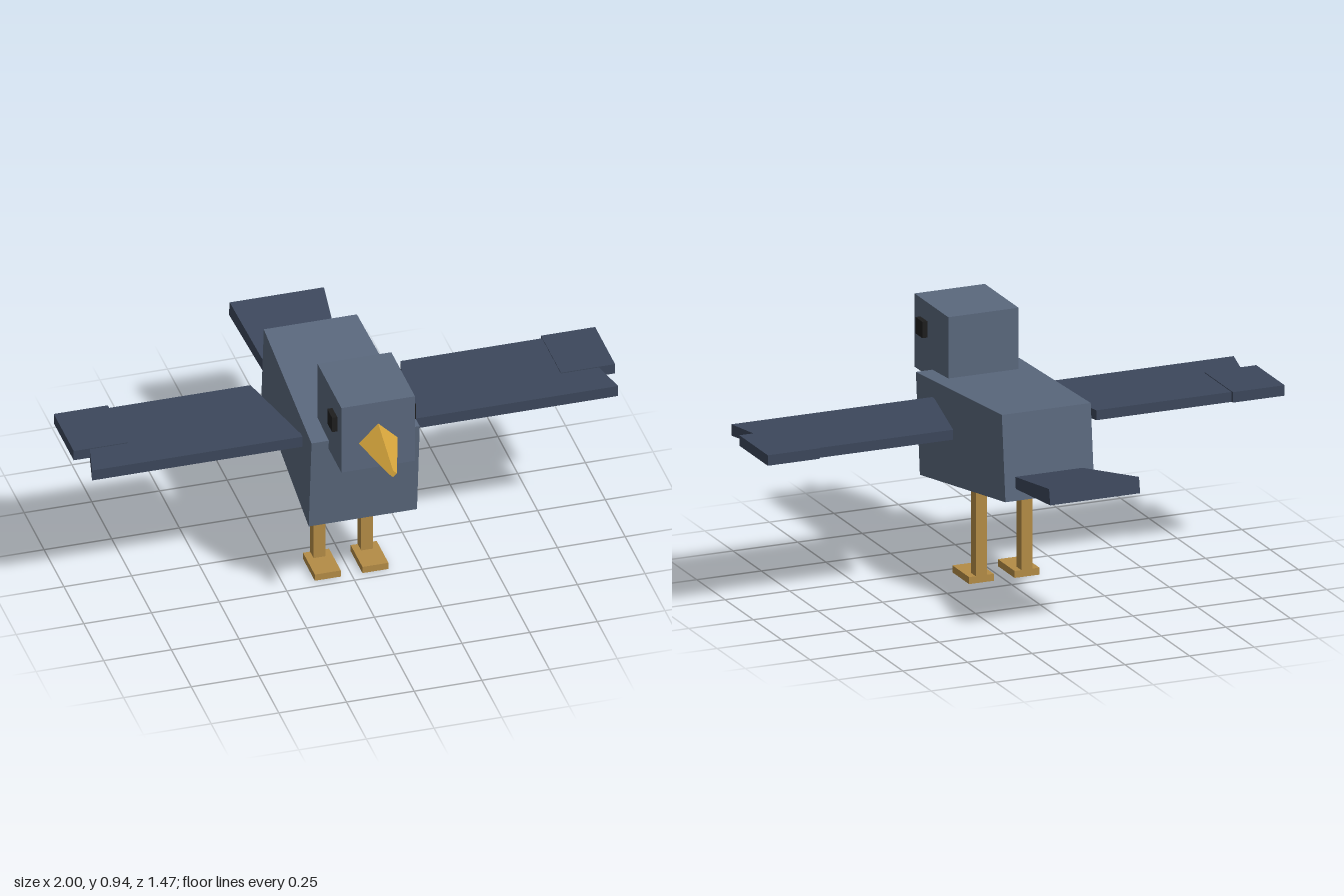
import * as THREE from 'three';

const paint = (name, color) => {
  const m = new THREE.MeshStandardMaterial({ color, flatShading: true });
  m.name = name;
  return m;
};

export function createModel() {
  const bird = new THREE.Group();
  bird.name = 'bird';
  const slate = paint('slate plumage', 0x5a687d);
  const dark = paint('dark feathers', 0x3c475b);
  const gold = paint('golden beak', 0xd6a53c);
  const tan = paint('tan legs', 0xb48c46);
  const black = paint('black eyes', 0x1e1e1e);

  const add = (name, geometry, material) => {
    const mesh = new THREE.Mesh(geometry, material);
    mesh.name = name;
    bird.add(mesh);
  };

  // Six-sided block whose corners are placed by a rule from their signs
  const block = (rule) => {
    const g = new THREE.BoxGeometry(2, 2, 2).toNonIndexed();
    const p = g.attributes.position;
    for (let i = 0; i < p.count; i++) p.setXYZ(i, ...rule(p.getX(i), p.getY(i), p.getZ(i)));
    g.computeVertexNormals();
    return g;
  };
  const box = (x0, x1, y0, y1, z0, z1) =>
    new THREE.BoxGeometry(x1 - x0, y1 - y0, z1 - z0)
      .translate((x0 + x1) / 2, (y0 + y1) / 2, (z0 + z1) / 2);

  // Tapered, tilted body
  add('body', block((x, y, z) => z > 0
    ? [x * 0.2, y > 0 ? 0.703 : 0.33, y > 0 ? 0.39 : 0.355]
    : [x * 0.172, y > 0 ? 0.746 : 0.43, y > 0 ? -0.305 : -0.337]), slate);

  // Head
  add('head', box(-0.136, 0.136, 0.667, 0.94, 0.25, 0.548), slate);

  // Four-sided beak drooping towards its tip
  const beak = new THREE.CylinderGeometry(0.014, 0.072, 0.187, 4)
    .rotateX(Math.PI / 2).translate(0, 0, 0.6415).toNonIndexed();
  const bp = beak.attributes.position;
  for (let i = 0; i < bp.count; i++) bp.setY(i, bp.getY(i) + 0.778 - (bp.getZ(i) - 0.548) * 0.13);
  beak.computeVertexNormals();
  add('beak', beak, gold);

  // Fanned tail
  add('tail', block((x, y, z) => z > 0
    ? [x * 0.13, y > 0 ? 0.516 : 0.473, y > 0 ? -0.325 : -0.332]
    : [x * 0.174, y > 0 ? 0.596 : 0.538, y > 0 ? -0.727 : -0.737]), dark);

  for (const s of [1, -1]) {
    const side = s > 0 ? 'left' : 'right';

    // Swept wing and its stepped tip
    add(side + 'Wing', block((x, y, z) => {
      const outer = x * s > 0;
      const reach = z > 0 ? (outer ? 0.972 : 0.19) : (outer ? 0.885 : 0.277);
      return [s * reach, y > 0 ? 0.648 : (z > 0 ? 0.606 : 0.611), z > 0 ? 0.258 : -0.115];
    }), dark);
    const tip = box(-0.1, 0.1, 0.612, 0.651, -0.128, 0.123).translate(s * 0.9, 0, 0);
    add(side + 'WingTip', tip, dark);

    // Eye, leg and foot
    add(side + 'Eye', box(-0.013, 0.013, 0.809, 0.87, 0.435, 0.496).translate(s * 0.142, 0, 0), black);
    add(side + 'Leg', box(-0.022, 0.022, 0.025, 0.352, 0.066, 0.11).translate(s * 0.088, 0, 0), tan);
    add(side + 'Foot', box(-0.048, 0.048, 0, 0.026, 0.066, 0.214).translate(s * 0.088, 0, 0), tan);
  }
  return bird;
}
